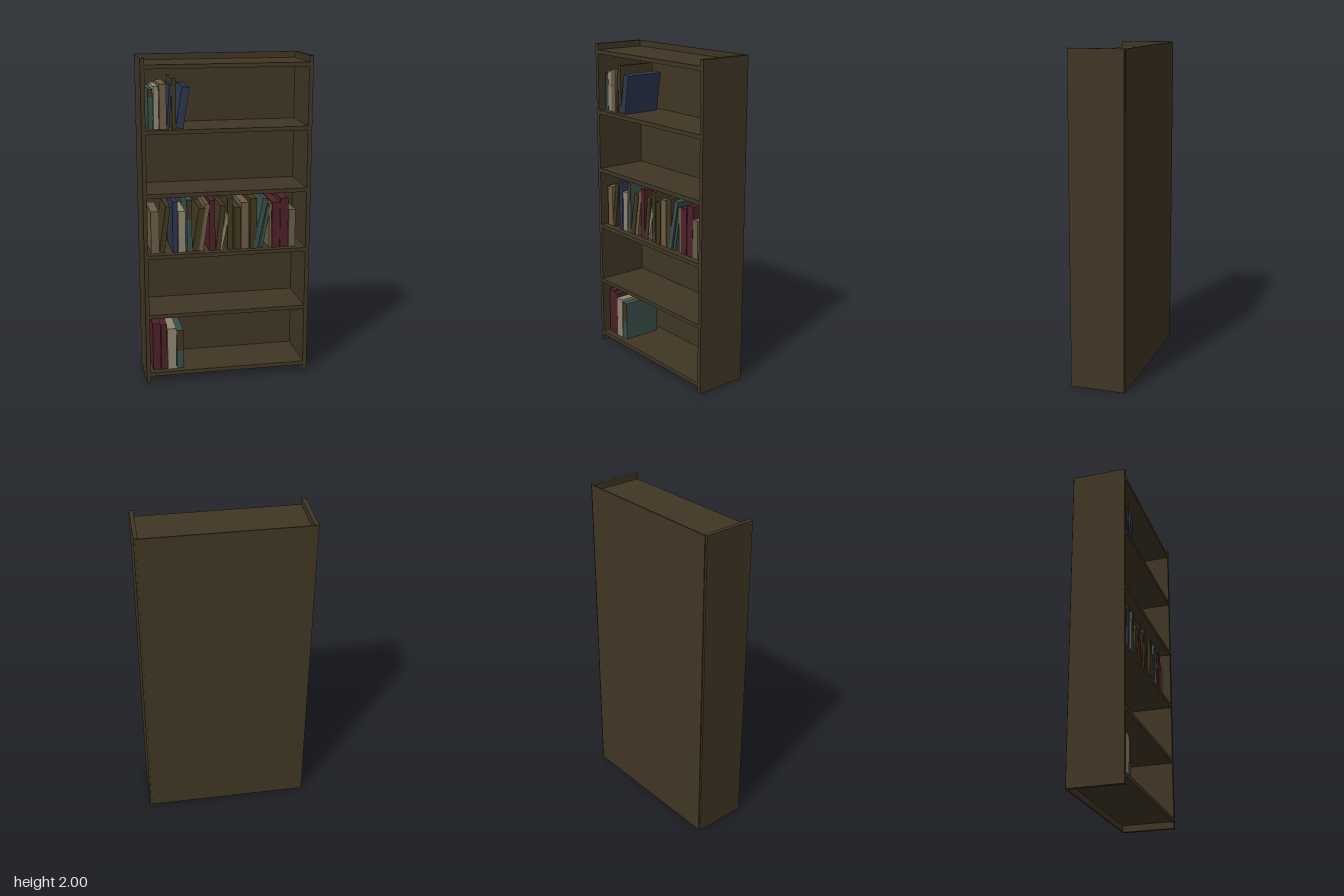
import * as THREE from 'three';

const flat = (name, color) => {
  const m = new THREE.MeshStandardMaterial({ color });
  m.name = name;
  return m;
};

const wood = flat('dark wood', 0x403624);
const covers = {
  olive: flat('olive cover', 0x40371f),
  beige: flat('beige cover', 0x6b5b44),
  cream: flat('cream cover', 0x8f8670),
  blue: flat('blue cover', 0x2c3650),
  maroon: flat('maroon cover', 0x4d2028),
  teal: flat('teal cover', 0x384f4a),
};

function box(name, material, w, h, d, x, y, z) {
  const mesh = new THREE.Mesh(new THREE.BoxGeometry(w, h, d), material);
  mesh.name = name;
  mesh.position.set(x, y, z);
  return mesh;
}

// Each book: right edge at its foot, thickness, height, colour, lean to the right,
// and the height at which an olive spine label begins (optional)
const rows = [
  { floor: 0.067, books: [
    [-0.418, 0.048, 0.305, 'maroon'],
    [-0.378, 0.037, 0.295, 'maroon'],
    [-0.320, 0.055, 0.268, 'cream'],
    [-0.275, 0.042, 0.252, 'teal', 0, 0.115],
  ] },
  { floor: 0.826, books: [
    [-0.415, 0.050, 0.262, 'beige'],
    [-0.385, 0.030, 0.290, 'olive', 0.14],
    [-0.302, 0.031, 0.317, 'blue'],
    [-0.254, 0.044, 0.257, 'cream'],
    [-0.214, 0.032, 0.325, 'teal', 0, 0.2],
    [-0.175, 0.040, 0.270, 'olive', 0.16],
    [-0.145, 0.030, 0.295, 'beige', 0.14],
    [-0.072, 0.036, 0.317, 'maroon'],
    [-0.038, 0.032, 0.280, 'olive', 0.11],
    [-0.029, 0.020, 0.230, 'cream', 0.2],
    [0.034, 0.029, 0.325, 'olive'],
    [0.085, 0.040, 0.267, 'olive'],
    [0.138, 0.048, 0.293, 'beige'],
    [0.188, 0.042, 0.315, 'olive'],
    [0.193, 0.030, 0.317, 'teal', 0.2],
    [0.225, 0.020, 0.280, 'teal', 0.18],
    [0.280, 0.016, 0.280, 'beige'],
    [0.333, 0.050, 0.287, 'maroon'],
    [0.386, 0.050, 0.309, 'maroon'],
    [0.431, 0.042, 0.235, 'beige'],
  ] },
  { floor: 1.583, books: [
    [-0.440, 0.027, 0.235, 'teal', 0, 0.19],
    [-0.405, 0.031, 0.250, 'cream'],
    [-0.360, 0.042, 0.265, 'beige'],
    [-0.345, 0.015, 0.255, 'blue', 0.08],
    [-0.305, 0.023, 0.295, 'olive'],
    [-0.262, 0.045, 0.245, 'blue', 0.165],
  ] },
];

// A book turns about the lower right edge it rests on
function makeBook([x, w, h, color, lean = 0, label], index) {
  const book = new THREE.Group();
  book.name = color + 'Book';
  const front = 0.128 + (index % 3) * 0.002;
  const depth = 0.25;
  book.add(box('cover', covers[color], w, h, depth, -w / 2, h / 2, front - depth / 2));
  if (label) {
    book.add(box('spineLabel', covers.olive, w, h - label, 0.002,
      -w / 2, (h + label) / 2, front + 0.001));
  }
  book.position.x = x;
  book.rotation.z = -lean;
  return book;
}

export function createModel() {
  const model = new THREE.Group();
  model.name = 'bookcase';

  // Side panels
  for (const [name, s] of [['leftSide', 1], ['rightSide', -1]]) {
    model.add(box(name, wood, 0.025, 2, 0.332, s * 0.5, 1, 0.002));
  }

  // Back panel, set over the rear edges of the sides
  model.add(box('backPanel', wood, 1, 1.998, 0.008, 0, 1, -0.166));

  // Evenly spaced shelves, flush with the front
  for (let i = 0; i < 6; i++) {
    model.add(box('shelf', wood, 0.975, 0.025, 0.33, 0, 0.0545 + i * 0.379, 0.003));
  }

  // Rows of books
  for (const { floor, books } of rows) {
    const row = new THREE.Group();
    row.name = 'bookRow';
    row.position.y = floor;
    books.forEach((b, i) => row.add(makeBook(b, i)));
    model.add(row);
  }
  return model;
}
